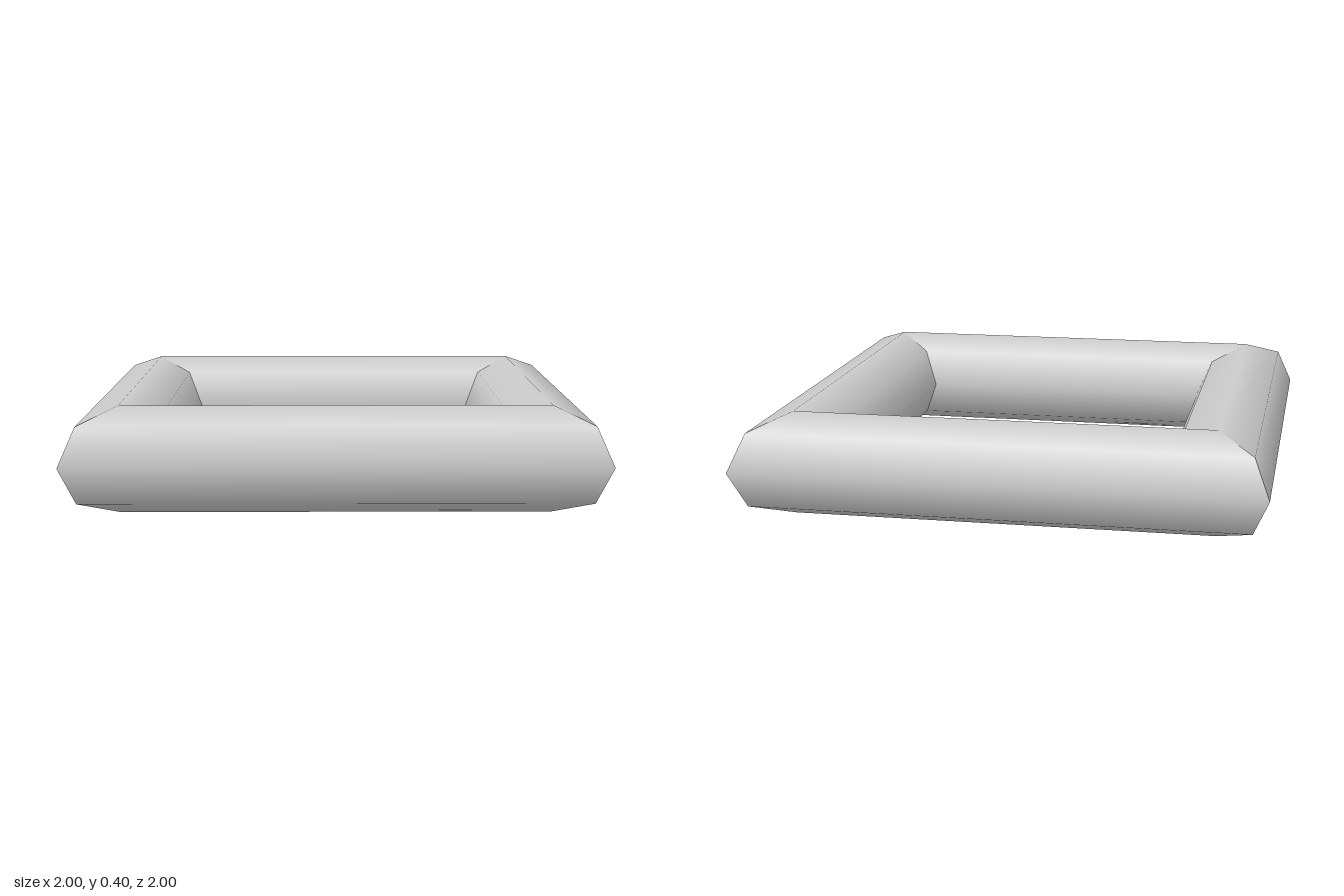
import * as THREE from 'three';

const RADIUS = 0.2;   // bar radius
const CENTRE = 0.8;   // distance from the frame's middle to each bar's axis

// Eight-sided bar along x, its ends mitred at 45 degrees
function mitredBar() {
  const geometry = new THREE.CylinderGeometry(RADIUS, RADIUS, 2, 8, 1, true);
  geometry.rotateZ(Math.PI / 2);
  const p = geometry.attributes.position;
  for (let i = 0; i < p.count; i++) {
    p.setX(i, Math.sign(p.getX(i)) * (CENTRE + p.getZ(i)));
  }
  geometry.translate(0, RADIUS, CENTRE);
  return geometry;
}

export function createModel() {
  const model = new THREE.Group();
  model.name = 'squareFrame';
  const grey = new THREE.MeshStandardMaterial({ color: 0xcccccc });
  grey.name = 'light grey';

  // Four bars turned around the centre
  const geometry = mitredBar();
  ['frontBar', 'leftBar', 'backBar', 'rightBar'].forEach((name, i) => {
    const bar = new THREE.Mesh(geometry, grey);
    bar.name = name;
    bar.rotation.y = i * Math.PI / 2;
    model.add(bar);
  });
  return model;
}
